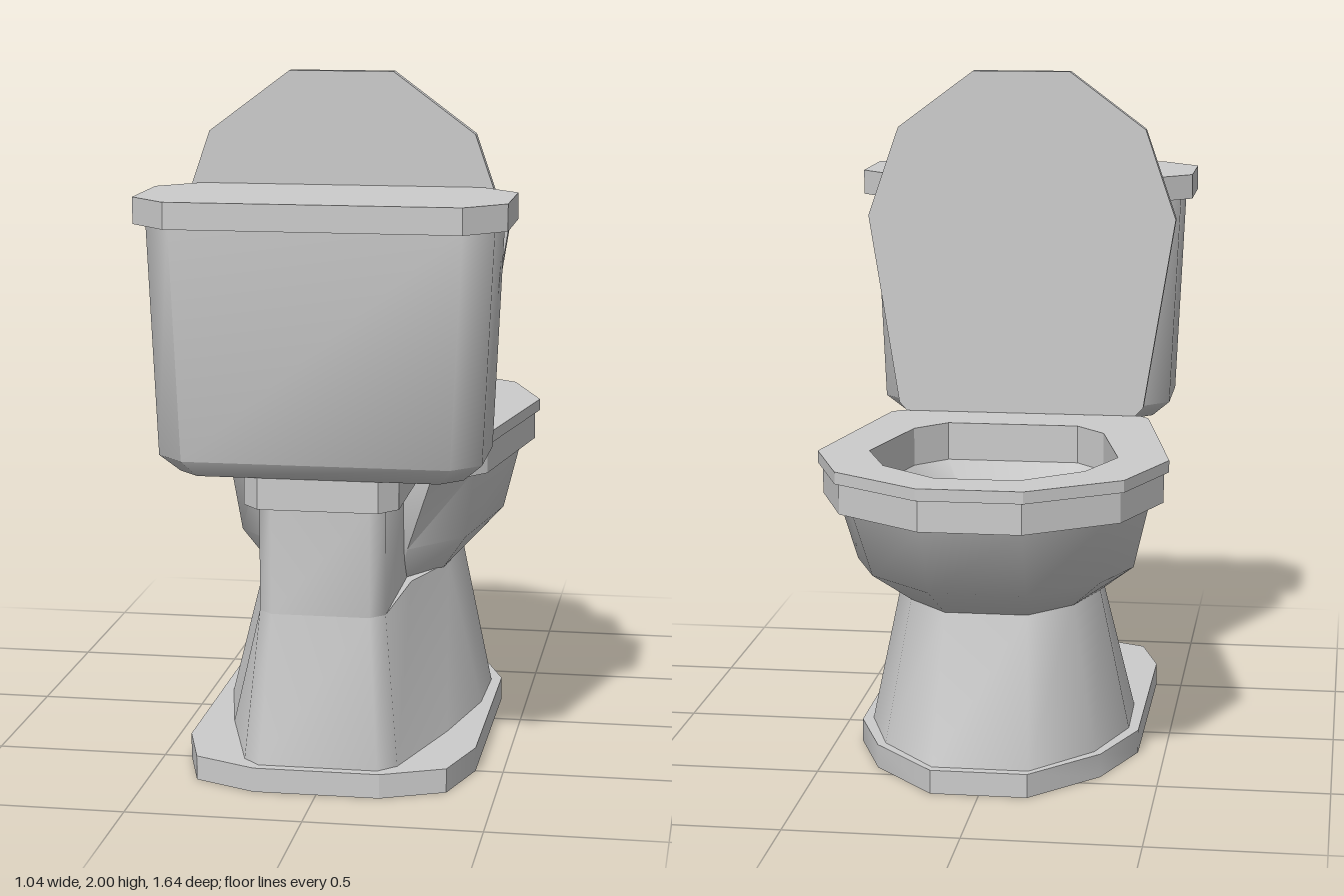
import * as THREE from 'three';
import { toCreasedNormals } from 'three/addons/utils/BufferGeometryUtils.js';

const material = new THREE.MeshStandardMaterial({ color: 0xcccccc, side: THREE.DoubleSide });

// Half outline on +x, front to back, mirrored into a closed ring
const mirror = (half) => [...half, ...half.slice().reverse().map(([x, z]) => [-x, z])];

function makeMesh(name, geometry, crease) {
  const mesh = new THREE.Mesh(toCreasedNormals(geometry, crease), material);
  mesh.name = name;
  return mesh;
}

// Skin through mirrored cross-sections [y, half outline], with optional end caps
function loft(name, sections, { bottom = true, top = true, crease = 0.9 } = {}) {
  const n = sections[0][1].length * 2;
  const pos = [], index = [];
  sections.forEach(([y, half]) => mirror(half).forEach(([x, z]) => pos.push(x, y, z)));
  for (let r = 0; r < sections.length - 1; r++) {
    for (let i = 0; i < n; i++) {
      const a = r * n + i, b = r * n + (i + 1) % n;
      index.push(a, a + n, b, b, a + n, b + n);
    }
  }
  const cap = (r, isTop) => {
    const [y, half] = sections[r];
    const c = pos.length / 3;
    pos.push(0, y, half.reduce((s, p) => s + p[1], 0) / half.length);
    for (let i = 0; i < n; i++) {
      const a = r * n + i, b = r * n + (i + 1) % n;
      index.push(c, ...(isTop ? [b, a] : [a, b]));
    }
  };
  if (bottom) cap(0, false);
  if (top) cap(sections.length - 1, true);
  const g = new THREE.BufferGeometry();
  g.setAttribute('position', new THREE.Float32BufferAttribute(pos, 3));
  g.setIndex(index);
  return makeMesh(name, g, crease);
}

const toShape = (half) => new THREE.Shape(mirror(half).map(([x, y]) => new THREE.Vector2(x, y)));

// Horizontal slab from y0 to y1, optionally pierced
function slab(name, half, y0, y1, hole) {
  const shape = toShape(half);
  if (hole) shape.holes.push(toShape(hole));
  const g = new THREE.ExtrudeGeometry(shape, { depth: y1 - y0, bevelEnabled: false });
  g.rotateX(Math.PI / 2).translate(0, y1, 0);
  return makeMesh(name, g, 0.4);
}

// Rectangle with chamfered corners, as a half outline
const chamfered = (x, z0, z1, c) => [[x - c, z0], [x, z0 + c], [x, z1 - c], [x - c, z1]];

export function createModel() {
  const group = new THREE.Group();

  // Floor plate
  group.add(slab('basePlate', [[0.14, -0.65], [0.33, -0.44], [0.42, -0.2], [0.42, 0.5],
    [0.36, 0.7], [0.18, 0.78]], 0, 0.07));

  // Pedestal, narrowing upward and merging into the rear column
  const columnTop = [[0.1, 0.1], [0.18, 0.2], [0.18, 0.66], [0.14, 0.7]];
  group.add(loft('pedestal', [
    [0.07, [[0.14, -0.62], [0.31, -0.42], [0.39, -0.18], [0.385, 0.06], [0.32, 0.36], [0.22, 0.7], [0.17, 0.75]]],
    [0.5, [[0.12, -0.49], [0.24, -0.36], [0.3, -0.18], [0.28, 0.04], [0.2, 0.28], [0.18, 0.66], [0.14, 0.7]]],
  ]));
  group.add(loft('rearColumn', [[0.5, columnTop], [0.81, columnTop]]));

  // Outside of the bowl
  group.add(loft('bowlOutside', [
    [0.495, [[0.12, -0.49], [0.24, -0.36], [0.3, -0.18], [0.27, 0.08], [0.16, 0.26]]],
    [0.6, [[0.14, -0.67], [0.33, -0.5], [0.41, -0.3], [0.34, 0.12], [0.19, 0.3]]],
    [0.81, [[0.14, -0.78], [0.37, -0.6], [0.46, -0.36], [0.37, 0.15], [0.26, 0.32]]],
  ], { top: false }));

  // Rim with the shelf under the tank, then the seat ring
  const opening = [[0.12, -0.68], [0.29, -0.535], [0.365, -0.34], [0.29, 0], [0.2, 0.1]];
  group.add(slab('rim', [[0.145, -0.81], [0.4, -0.63], [0.5, -0.36], [0.41, 0.17], [0.31, 0.29],
    [0.22, 0.34], [0.22, 0.68], [0.17, 0.74]], 0.81, 0.9, opening));
  group.add(slab('seat', [[0.15, -0.82], [0.41, -0.64], [0.515, -0.36], [0.405, 0.25],
    [0.38, 0.28]], 0.9, 0.935, opening));

  // Inside of the bowl, sloping down to the drain
  const drain = [[0.03, -0.25], [0.07, -0.22], [0.085, -0.16], [0.075, -0.1], [0.05, -0.07]];
  group.add(loft('bowlInside', [[0.82, opening], [0.53, drain], [0.5, drain]],
    { bottom: false }));

  // Raised lid, leaning slightly back
  const lidShape = toShape([[0.15, 2.0], [0.385, 1.825], [0.48, 1.55], [0.385, 0.96], [0.34, 0.91]]);
  const lidGeometry = new THREE.ExtrudeGeometry(lidShape, { depth: 0.035, bevelEnabled: false });
  const p = lidGeometry.attributes.position;
  for (let i = 0; i < p.count; i++) p.setZ(i, p.getZ(i) + 0.285 + 0.01 * (p.getY(i) - 0.91));
  group.add(makeMesh('lid', lidGeometry, 0.4));

  // Water tank with a chamfered underside, and its cover
  group.add(loft('tank', [
    [0.9, chamfered(0.4, 0.42, 0.74, 0.06)],
    [0.95, chamfered(0.455, 0.37, 0.79, 0.08)],
    [1.61, chamfered(0.485, 0.37, 0.79, 0.08)],
  ]));
  group.add(slab('tankCover', chamfered(0.52, 0.33, 0.825, 0.11), 1.6, 1.675));

  return group;
}
